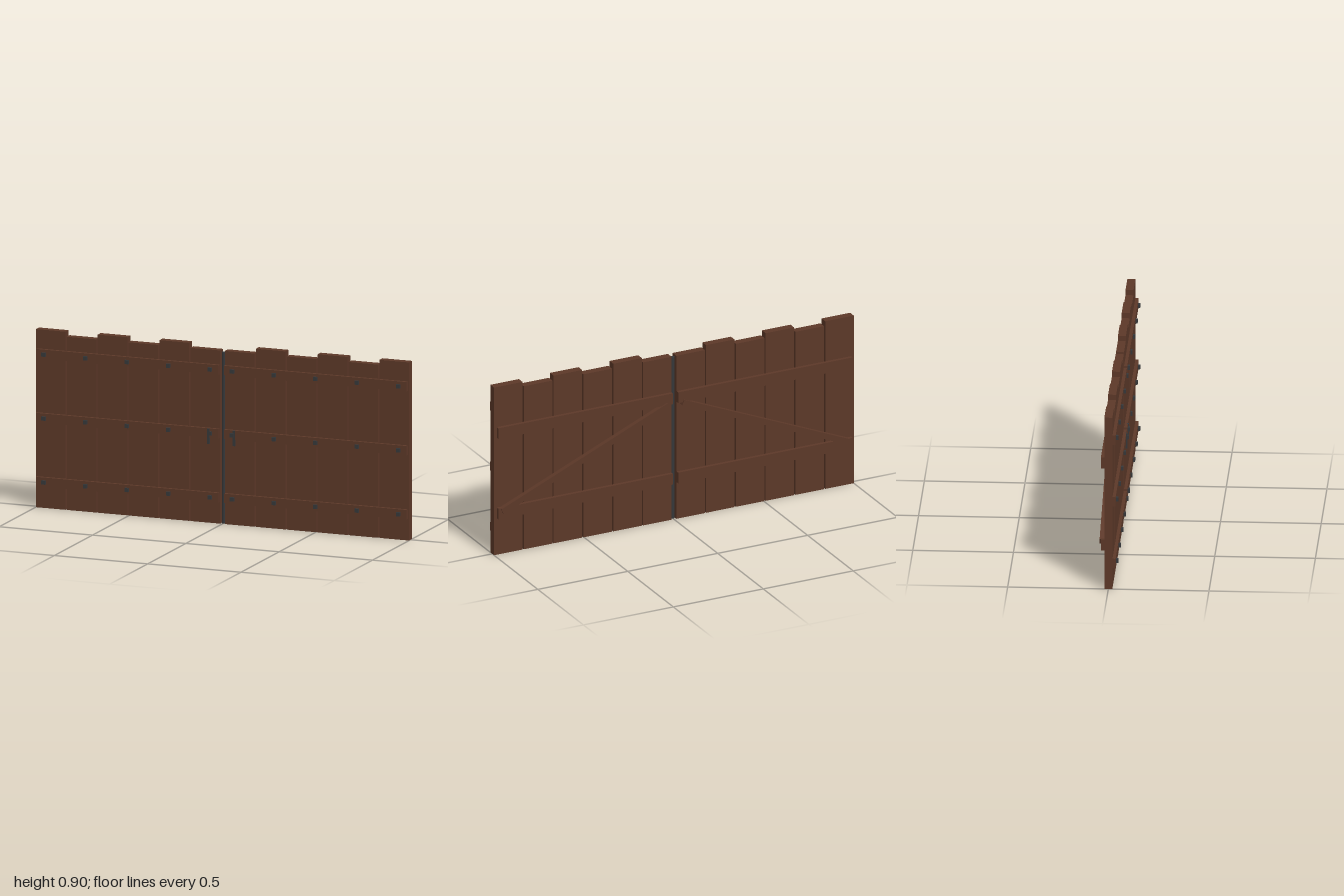
import * as THREE from 'three';

export function createModel() {
  const gate = new THREE.Group();
  gate.name = 'doubleGate';
  const wood = new THREE.MeshStandardMaterial({ color: 0x5c3828 });
  wood.name = 'brown wood';
  const iron = new THREE.MeshStandardMaterial({ color: 0x36383a });
  iron.name = 'dark iron';

  // Box given by its limits on each axis
  function box(parent, name, material, [x0, x1], [y0, y1], [z0, z1]) {
    const mesh = new THREE.Mesh(new THREE.BoxGeometry(Math.abs(x1 - x0), y1 - y0, z1 - z0), material);
    mesh.position.set((x0 + x1) / 2, (y0 + y1) / 2, (z0 + z1) / 2);
    mesh.name = name;
    parent.add(mesh);
    return mesh;
  }

  for (const side of [-1, 1]) {
    const leaf = new THREE.Group();
    leaf.name = side < 0 ? 'rightLeaf' : 'leftLeaf';
    gate.add(leaf);
    const span = (a, b) => [side * a, side * b];

    // Upright planks, alternately short and tall from the middle outwards
    for (let i = 0; i < 6; i++) {
      const x = 0.013 + i * 0.1657;
      box(leaf, 'plank', wood, span(x, x + 0.1585), [0, i % 2 ? 0.905 : 0.88], [-0.02, 0.02]);
    }

    // Front straps with a row of bolts
    for (const y of [0.134, 0.459, 0.784]) {
      box(leaf, 'frontStrap', wood, span(0.015, 0.993), [y - 0.024, y + 0.024], [0.02, 0.036]);
      for (let i = 0; i < 5; i++) {
        const x = 0.06 + i * 0.2225;
        box(leaf, 'bolt', iron, span(x - 0.01, x + 0.01), [y - 0.01, y + 0.01], [0.036, 0.047]);
      }
    }

    // Hanging handle beside the middle
    box(leaf, 'handle', iron, span(0.063, 0.075), [0.405, 0.483], [0.032, 0.042]);

    // Back rails
    for (const y of [0.226, 0.66]) {
      box(leaf, 'backRail', wood, span(0.015, 0.985), [y - 0.029, y + 0.029], [-0.038, -0.02]);
    }

    // Diagonal brace, high in the middle and low at the outer edge
    const start = new THREE.Vector2(side * 0.04, 0.631);
    const end = new THREE.Vector2(side * 0.965, 0.238);
    const half = start.distanceTo(end) / 2;
    const brace = box(leaf, 'brace', wood, [-half, half], [-0.015, 0.015], [-0.045, -0.02]);
    brace.position.x = (start.x + end.x) / 2;
    brace.position.y = (start.y + end.y) / 2;
    brace.rotation.z = Math.atan2(end.y - start.y, end.x - start.x) + (side < 0 ? Math.PI : 0);
  }

  // Iron rod between the leaves
  const rod = new THREE.Mesh(new THREE.CylinderGeometry(0.012, 0.012, 0.87, 8), iron);
  rod.position.y = 0.435;
  rod.name = 'centreRod';
  gate.add(rod);

  return gate;
}
